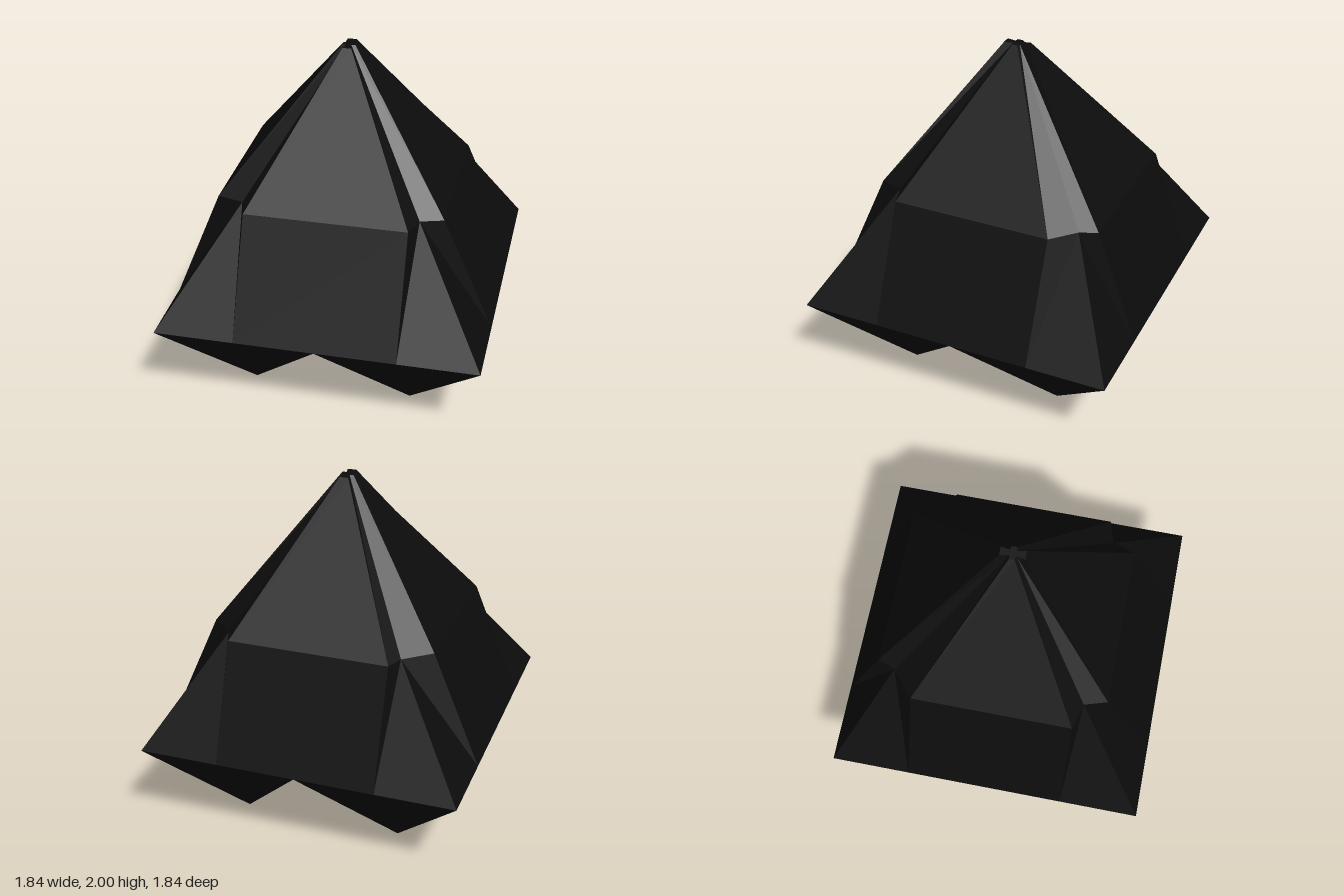
import * as THREE from 'three';

const black = new THREE.MeshStandardMaterial({ color: 0x0c0c0c, flatShading: true, side: THREE.DoubleSide });
black.name = 'black';

// Flat-shaded mesh from a list of triangles, each three [x, y, z] points
function facets(name, triangles) {
  const geometry = new THREE.BufferGeometry();
  geometry.setAttribute('position', new THREE.Float32BufferAttribute(triangles.flat(2), 3));
  geometry.computeVertexNormals();
  const mesh = new THREE.Mesh(geometry, black);
  mesh.name = name;
  return mesh;
}

// Corners in order round the body, from the front towards +x
const corners = [[1, 1], [1, -1], [-1, -1], [-1, 1]];

// Twelve-point loop: each corner has a front/back point, a middle crease and a side point
function loop(y, pointsFor) {
  return corners.flatMap(([sx, sz]) => {
    const points = pointsFor(sx, sz).map(([x, z]) => [x * sx, y, z * sz]);
    return sx * sz > 0 ? points : points.reverse();
  });
}

// Faces between two loops; the diagonals meet at the crease points
function band(low, high) {
  const triangles = [];
  for (let i = 0; i < 12; i++) {
    const j = (i + 1) % 12;
    if (i % 3 === 1) triangles.push([low[i], low[j], high[i]], [low[j], high[j], high[i]]);
    else triangles.push([low[i], low[j], high[j]], [low[i], high[j], high[i]]);
  }
  return triangles;
}

export function createModel() {
  const model = new THREE.Group();
  model.name = 'facetedCrystal';

  const rim = loop(0.55, () => [[0.46, 0.92], [0.92, 0.92], [0.92, 0.46]]);
  const shoulder = loop(1.21, (sx, sz) => [
    [0.46, sz > 0 ? 0.63 : 0.685],
    [0.5, sz > 0 ? 0.5 : 0.585],
    [sx > 0 ? 0.63 : 0.65, 0.46],
  ]);
  const tip = loop(2, () => [[0.025, 0.07], [0.015, 0.02], [0.037, 0.015]]);

  // Sloping body and steeper roof
  model.add(facets('lowerBody', band(rim, shoulder)));
  model.add(facets('upperBody', band(shoulder, tip)));

  // Small star-shaped cap
  model.add(facets('cap', tip.map((p, i) => [p, tip[(i + 1) % 12], [0, 2, 0]])));

  // Four inverted pyramid feet
  for (const [sx, sz] of corners) {
    const square = [[0, 0.525, 0], [0.92 * sx, 0.55, 0], [0.92 * sx, 0.55, 0.92 * sz], [0, 0.55, 0.92 * sz]];
    const point = [0.465 * sx, 0, 0.465 * sz];
    const sides = square.map((p, i) => {
      const next = square[(i + 1) % 4];
      return sx * sz > 0 ? [next, p, point].reverse() : [next, p, point];
    });
    model.add(facets('foot', sides));
  }
  return model;
}
